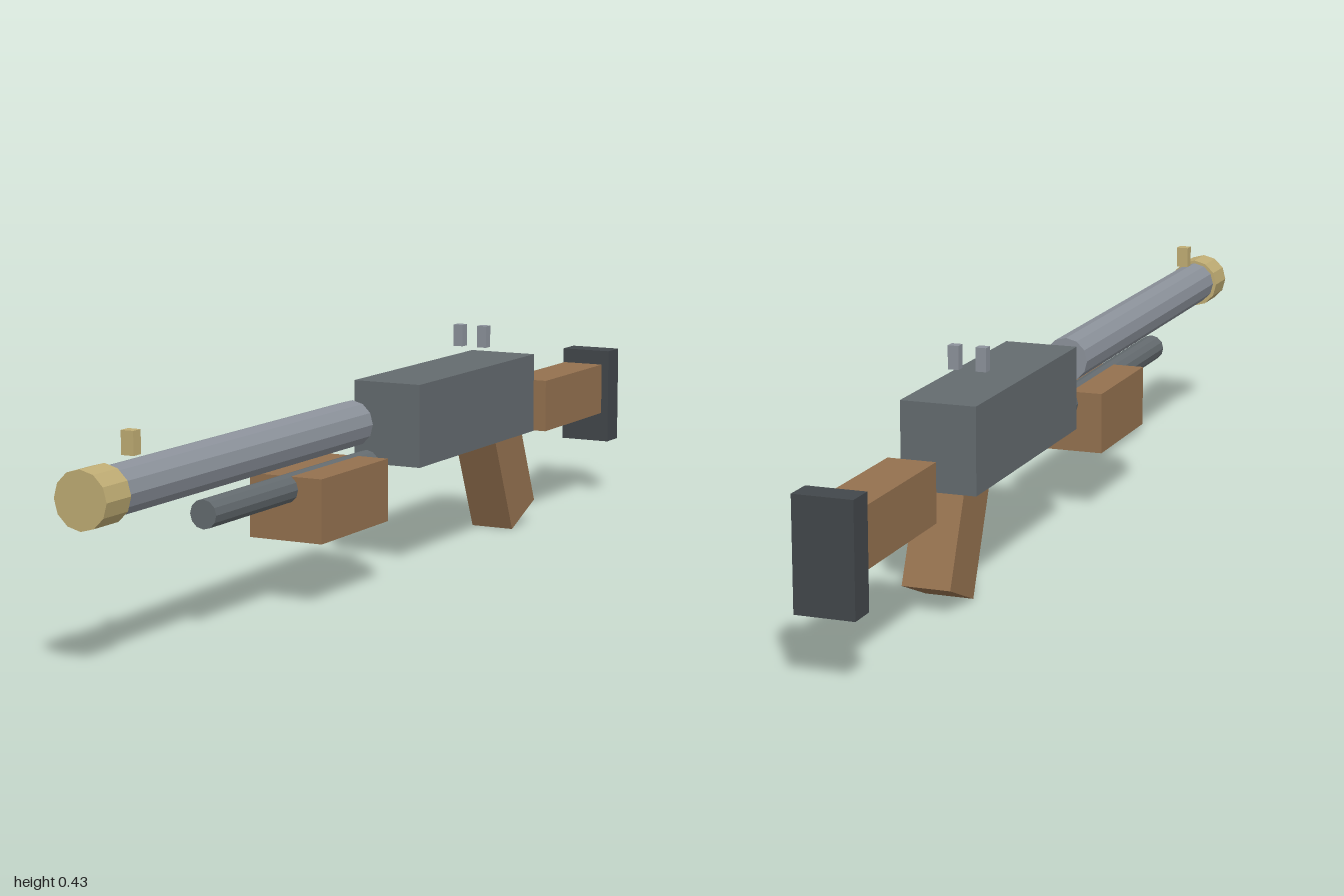
import * as THREE from 'three';

const mat = (color) => new THREE.MeshStandardMaterial({ color, flatShading: true });

export function createModel() {
  const group = new THREE.Group();
  const steel = mat(0x8c929b), darkSteel = mat(0x646b6f), rubber = mat(0x42474b);
  const wood = mat(0x94714f), brass = mat(0xc0ad74);

  const add = (name, geometry, material, x, y, z) => {
    const mesh = new THREE.Mesh(geometry, material);
    mesh.name = name;
    mesh.position.set(x, y, z);
    group.add(mesh);
    return mesh;
  };
  // box given by its width, bottom, top, back and front
  const box = (name, material, width, y0, y1, z0, z1, x = 0) =>
    add(name, new THREE.BoxGeometry(width, y1 - y0, z1 - z0), material, x, (y0 + y1) / 2, (z0 + z1) / 2);
  // faceted rod along z
  const rod = (name, material, radius, y, z0, z1) =>
    add(name, new THREE.CylinderGeometry(radius, radius, z1 - z0, 12).rotateX(Math.PI / 2),
      material, 0, y, (z0 + z1) / 2);

  // barrel group
  rod('barrel', steel, 0.043, 0.299, 0.11, 0.935);
  rod('muzzle', brass, 0.05, 0.298, 0.93, 1);
  rod('magazineTube', darkSteel, 0.026, 0.215, 0.055, 0.635);
  box('foreGrip', wood, 0.147, 0.121, 0.238, 0.108, 0.358);

  // body and stock
  box('receiver', darkSteel, 0.14, 0.2, 0.358, -0.53, -0.025);
  box('stock', wood, 0.088, 0.181, 0.287, -0.933, -0.645);
  box('buttPad', rubber, 0.107, 0.117, 0.315, -1, -0.947);

  // slanted hand grip, its top buried in the receiver
  const grip = add('handGrip', new THREE.BoxGeometry(0.09, 0.24, 0.114), wood, 0, 0.134, -0.491);
  grip.rotation.x = 0.4;

  // sights
  box('frontSight', brass, 0.024, 0.35, 0.391, 0.842, 0.864);
  for (const side of [-1, 1]) {
    box(side > 0 ? 'rearSightLeft' : 'rearSightRight', steel, 0.02, 0.386, 0.429, -0.396, -0.377, side * 0.026);
  }
  return group;
}
